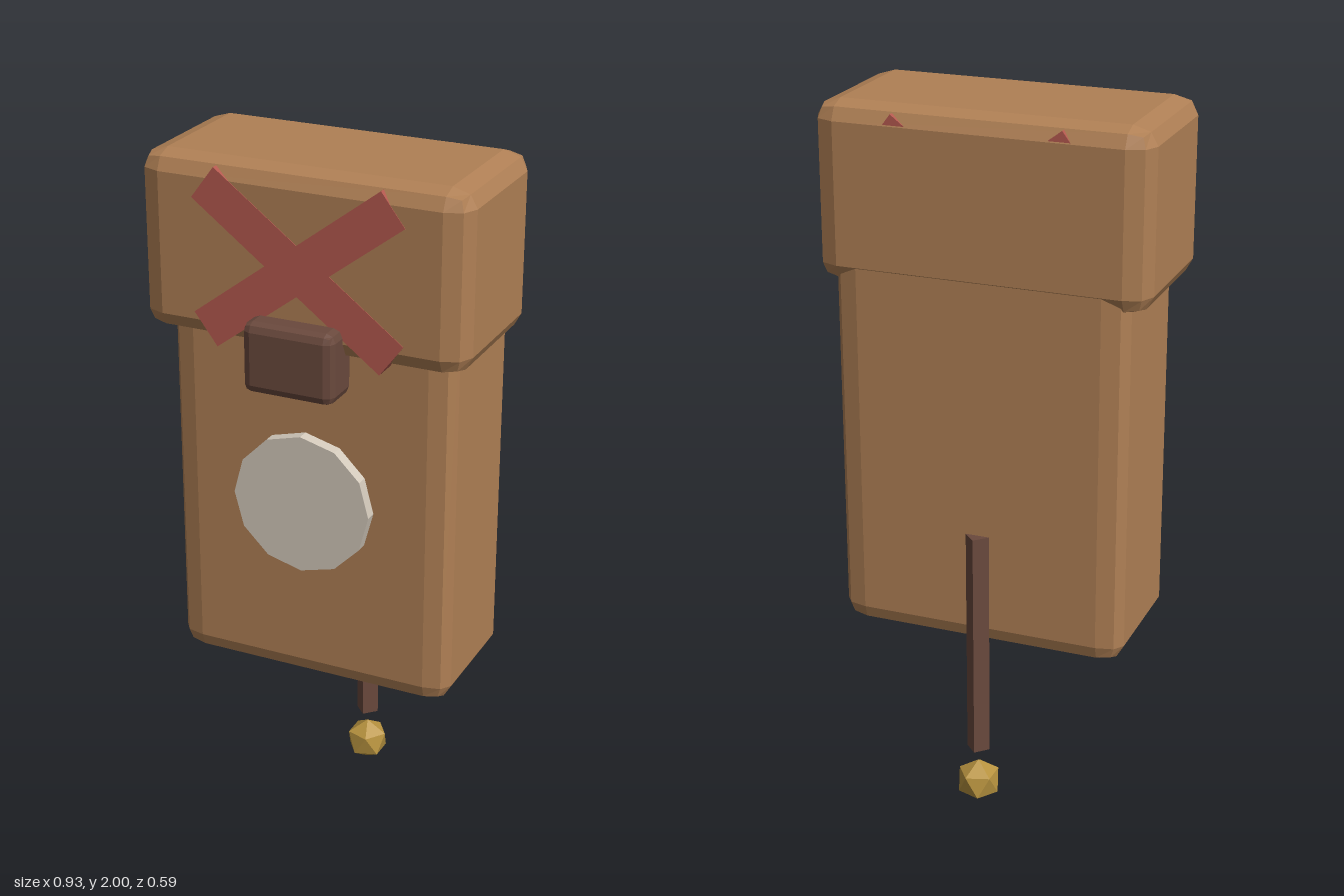
import * as THREE from 'three';
import { RoundedBoxGeometry } from 'three/addons/geometries/RoundedBoxGeometry.js';

const mat = (color) => new THREE.MeshStandardMaterial({ color, flatShading: true });

// Box between two corners, with a two-step bevel of its own size on each axis
function bevelBox([x0, y0, z0], [x1, y1, z1], [rx, ry, rz]) {
  const g = new RoundedBoxGeometry((x1 - x0) / rx, (y1 - y0) / ry, (z1 - z0) / rz, 1, 1);
  g.scale(rx, ry, rz);
  g.translate((x0 + x1) / 2, (y0 + y1) / 2, (z0 + z1) / 2);
  g.computeVertexNormals();
  return g;
}

export function createModel() {
  const model = new THREE.Group();
  model.name = 'pendulumClock';
  const wood = mat(0xb08055);
  const darkWood = mat(0x6a493d);
  const red = mat(0xb55a50);

  const add = (name, geometry, material) => {
    const mesh = new THREE.Mesh(geometry, material);
    mesh.name = name;
    model.add(mesh);
    return mesh;
  };

  // Case and the wider hood, flush at the back
  add('case', bevelBox([-0.413, 0.508, -0.237], [0.413, 1.75, 0.163], [0.07, 0.05, 0.04]), wood);
  add('hood', bevelBox([-0.465, 1.51, -0.238], [0.465, 2, 0.227], [0.067, 0.05, 0.06]), wood);

  // Crossed bars running through the hood
  for (const side of [-1, 1]) {
    const bar = add(side > 0 ? 'leftCrossBar' : 'rightCrossBar',
      new THREE.BoxGeometry(0.667, 0.11, 0.465), red);
    bar.position.set(0, 1.738, -0.004);
    bar.rotation.z = side * 0.645;
  }

  // Block under the cross
  add('frontBlock', bevelBox([-0.13, 1.405, 0.163], [0.13, 1.602, 0.295], [0.025, 0.025, 0.025]), darkWood);

  // Dial
  const dial = add('dial', new THREE.CylinderGeometry(0.2, 0.2, 0.034, 12), mat(0xd4cabc));
  dial.rotation.x = Math.PI / 2;
  dial.position.set(0, 1.07, 0.198);

  // Pendulum: four-sided rod and faceted bob, one corner of the bob pointing up
  const rod = add('pendulumRod', new THREE.CylinderGeometry(0.034, 0.034, 0.665, 4), darkWood);
  rod.position.set(0, 0.505, -0.237);
  const bob = add('pendulumBob', new THREE.IcosahedronGeometry(0.065, 0), mat(0xb8933f));
  bob.rotation.z = -Math.atan(2 / (1 + Math.sqrt(5)));
  bob.position.set(0, 0.067, -0.238);

  return model;
}
